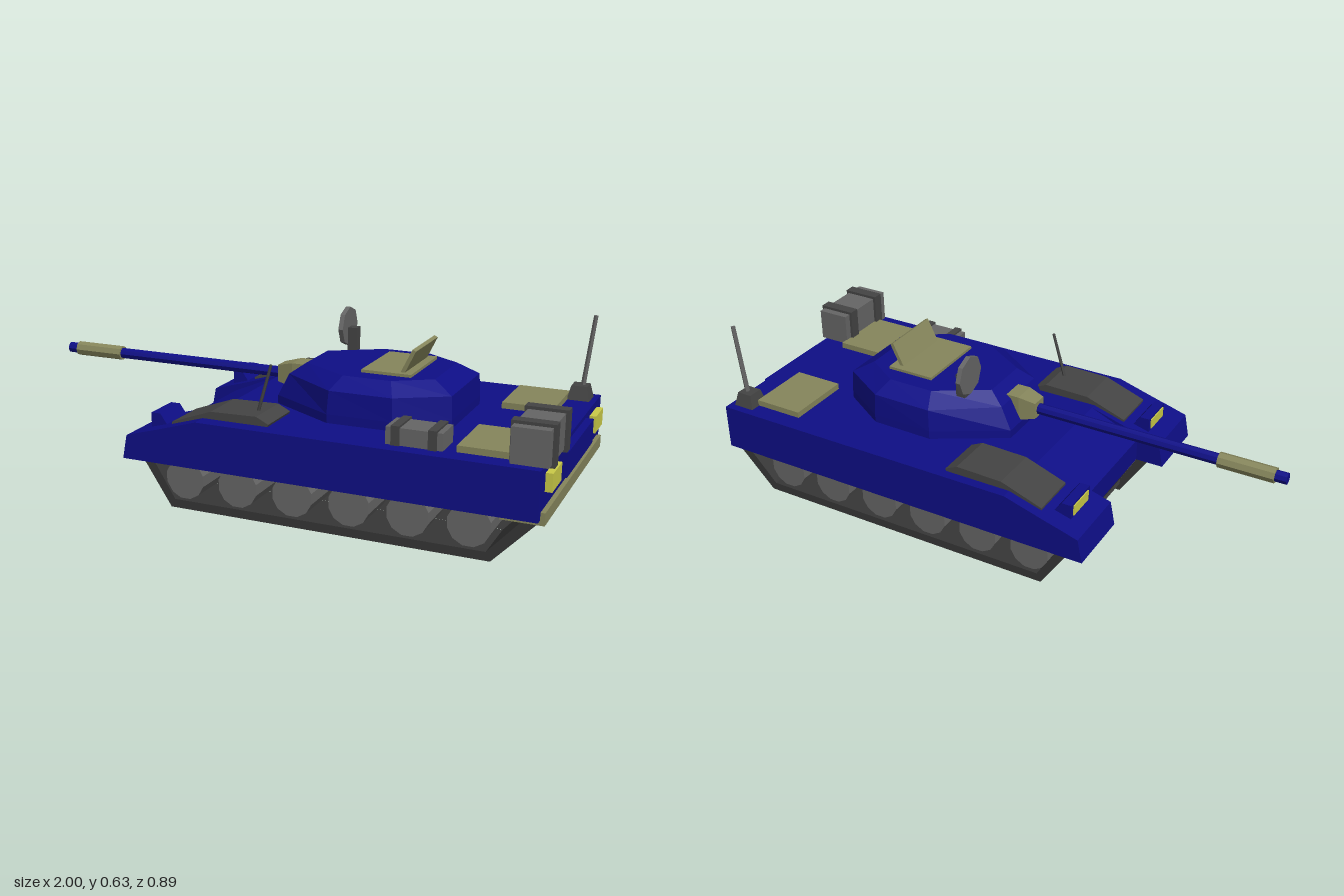
import * as THREE from 'three';

const mat = (color) => new THREE.MeshStandardMaterial({ color, flatShading: true, side: THREE.DoubleSide });

export function createModel() {
  const model = new THREE.Group();
  const blue = mat(0x0e0e86), khaki = mat(0x86865c), grey = mat(0x666666);
  const dark = mat(0x444444), black = mat(0x363636), yellow = mat(0xcccc48);

  const add = (name, geometry, material) => {
    const mesh = new THREE.Mesh(geometry, material);
    mesh.name = name;
    model.add(mesh);
    return mesh;
  };
  // Box given by its limits on each axis
  const box = (name, material, x0, x1, y0, y1, z0, z1) => {
    const mesh = add(name, new THREE.BoxGeometry(x1 - x0, y1 - y0, z1 - z0), material);
    mesh.position.set((x0 + x1) / 2, (y0 + y1) / 2, (z0 + z1) / 2);
    return mesh;
  };
  // Side outline (x, y) extruded from z0 to z1
  const slab = (name, material, points, z0, z1) => {
    const shape = new THREE.Shape(points.map(([x, y]) => new THREE.Vector2(x, y)));
    const mesh = add(name, new THREE.ExtrudeGeometry(shape, { depth: z1 - z0, bevelEnabled: false }), material);
    mesh.position.z = z0;
    return mesh;
  };
  // Straight rod between two points
  const rod = (name, material, a, b, r0, r1 = r0, sides = 8) => {
    const from = new THREE.Vector3(...a), to = new THREE.Vector3(...b);
    const dir = to.clone().sub(from);
    const mesh = add(name, new THREE.CylinderGeometry(r1, r0, dir.length(), sides), material);
    mesh.position.copy(from).add(to).multiplyScalar(0.5);
    mesh.quaternion.setFromUnitVectors(new THREE.Vector3(0, 1, 0), dir.normalize());
    return mesh;
  };
  // Closed solid lofted through rings of equal length
  const loft = (name, material, rings) => {
    const n = rings[0].length, index = [];
    for (let r = 0; r < rings.length - 1; r++) {
      for (let i = 0; i < n; i++) {
        const j = (i + 1) % n, a = r * n + i, b = r * n + j;
        index.push(a, a + n, b, b, a + n, b + n);
      }
    }
    const top = (rings.length - 1) * n;
    for (let i = 1; i < n - 1; i++) index.push(0, i, i + 1, top, top + i + 1, top + i);
    const geometry = new THREE.BufferGeometry();
    geometry.setAttribute('position', new THREE.Float32BufferAttribute(rings.flat(2), 3));
    geometry.setIndex(index);
    geometry.computeVertexNormals();
    return add(name, geometry, material);
  };

  // Hull: centre section with a set-back nose
  slab('hullCentre', blue,
    [[-0.385, 0.165], [0.965, 0.165], [0.965, 0.33], [-0.2, 0.33], [-0.385, 0.25]], -0.2, 0.2);

  for (const s of [-1, 1]) {
    const span = (a, b) => (s > 0 ? [a, b] : [-b, -a]);

    // Fender and headlamp
    slab('fender', blue,
      [[-0.487, 0.165], [0.965, 0.165], [0.965, 0.33], [-0.2, 0.33], [-0.35, 0.285], [-0.41, 0.268], [-0.47, 0.25]],
      ...span(0.2, 0.445));
    slab('headlampHousing', blue,
      [[-0.41, 0.25], [-0.34, 0.27], [-0.35, 0.285], [-0.375, 0.32], [-0.41, 0.32]], ...span(0.24, 0.375));
    box('headlamp', yellow, -0.414, -0.408, 0.275, 0.312, ...span(0.255, 0.36));

    // Raised fender panel
    slab('fenderPanel', dark,
      [[-0.32, 0.285], [0.04, 0.325], [0.045, 0.338], [0, 0.36], [-0.17, 0.356], [-0.32, 0.302]],
      ...(s > 0 ? [0.22, 0.39] : [-0.41, -0.24]));

    // Engine deck cover and tail lamp
    box('deckCover', khaki, 0.685, 0.868, 0.325, 0.352, ...span(0.137, 0.378));
    box('tailLamp', yellow, 0.96, 0.988, 0.243, 0.304, ...span(0.258, 0.378));

    // Track belt, open at the top
    slab('track', black, [
      [-0.43, 0.168], [-0.32, 0], [0.815, 0], [0.975, 0.168],
      [0.925, 0.168], [0.80, 0.03], [-0.305, 0.03], [-0.39, 0.168],
    ], ...span(0.213, 0.41));

    // Road wheels
    for (let i = 0; i < 6; i++) {
      const x = -0.27 + i * 0.202;
      const wheel = rod('roadWheel', grey, [x, 0.105, s * 0.21], [x, 0.105, s * 0.4], 0.073, 0.073, 12);
      wheel.rotateY(Math.PI / 12);
    }
    box('bellyRail', dark, -0.32, 0.82, 0.03, 0.07, ...span(0.17, 0.212));
  }

  // Belly and its cross bars
  slab('belly', dark, [[-0.385, 0.17], [-0.33, 0.068], [0.82, 0.068], [0.91, 0.17]], -0.208, 0.208);
  for (let i = 0; i < 7; i++) {
    const x = -0.29 + i * 0.18;
    box('bellyBar', dark, x - 0.03, x + 0.03, 0.03, 0.072, -0.2, 0.2);
  }

  // Tail
  box('rearBumper', khaki, 0.84, 0.98, 0.148, 0.19, -0.416, 0.418);
  box('rearPanel', blue, 0.95, 0.992, 0.23, 0.315, -0.193, 0.195);

  // Turret: eight-sided, with bevelled roof
  const plan = [[-0.045, 0.125], [0.2, 0.268], [0.43, 0.264], [0.6, 0.16]];
  const roof = [[0.05, 0.09], [0.23, 0.2], [0.40, 0.2], [0.525, 0.12]];
  const mid = [[-0.005, 0.118], [0.205, 0.262], [0.427, 0.26], [0.596, 0.158]];
  const ring = (half, y) => [
    ...half.map(([x, z]) => [x, y, z]),
    ...half.slice().reverse().map(([x, z]) => [x, y, -z]),
  ];
  loft('turret', blue, [ring(plan, 0.325), ring(plan, 0.36), ring(mid, 0.44), ring(roof, 0.48)]);

  // Gun
  const gz = -0.01;
  rod('gunBarrel', blue, [-1, 0.405, gz], [0.05, 0.405, gz], 0.02);
  rod('muzzleSleeve', khaki, [-0.96, 0.405, gz], [-0.765, 0.405, gz], 0.027);
  const mantletRing = (x, h, w) => [
    [x, 0.408 - h, gz - w], [x, 0.408 + h, gz - w], [x, 0.408 + h, gz + w], [x, 0.408 - h, gz + w],
  ];
  loft('mantlet', khaki, [mantletRing(-0.095, 0.03, 0.03), mantletRing(-0.035, 0.045, 0.042), mantletRing(0.03, 0.045, 0.042)]);

  // Hatch with open lid
  box('hatchRim', khaki, 0.27, 0.447, 0.475, 0.49, -0.137, 0.137);
  slab('hatchLid', khaki, [[0.402, 0.488], [0.416, 0.485], [0.455, 0.565], [0.443, 0.571]], -0.112, 0.116);

  // Disc sensor on a post
  box('sensorPost', dark, 0.105, 0.14, 0.475, 0.56, -0.179, -0.143);
  rod('sensorDisc', grey, [0.09, 0.561, -0.163], [0.107, 0.561, -0.163], 0.071);

  // Aerials
  rod('frontAerial', dark, [-0.03, 0.345, 0.318], [0.022, 0.522, 0.318], 0.006, 0.005, 6);
  const baseRing = (y, h) => [
    [0.905 - h, y, -0.377 - h], [0.905 - h, y, -0.377 + h], [0.905 + h, y, -0.377 + h], [0.905 + h, y, -0.377 - h],
  ];
  loft('aerialBase', dark, [baseRing(0.325, 0.041), baseRing(0.38, 0.028)]);
  rod('rearAerial', grey, [0.912, 0.37, -0.377], [0.942, 0.632, -0.377], 0.009, 0.008, 6);

  // Stowage boxes with straps
  box('rearStowage', grey, 0.865, 0.985, 0.335, 0.452, 0.165, 0.428);
  for (const z of [0.212, 0.374]) box('rearStrap', dark, 0.855, 0.995, 0.326, 0.462, z - 0.02, z + 0.02);
  box('sideStowage', grey, 0.455, 0.645, 0.325, 0.388, 0.287, 0.392);
  for (const x of [0.489, 0.612]) box('sideStrap', dark, x - 0.014, x + 0.014, 0.325, 0.395, 0.28, 0.399);

  return model;
}
